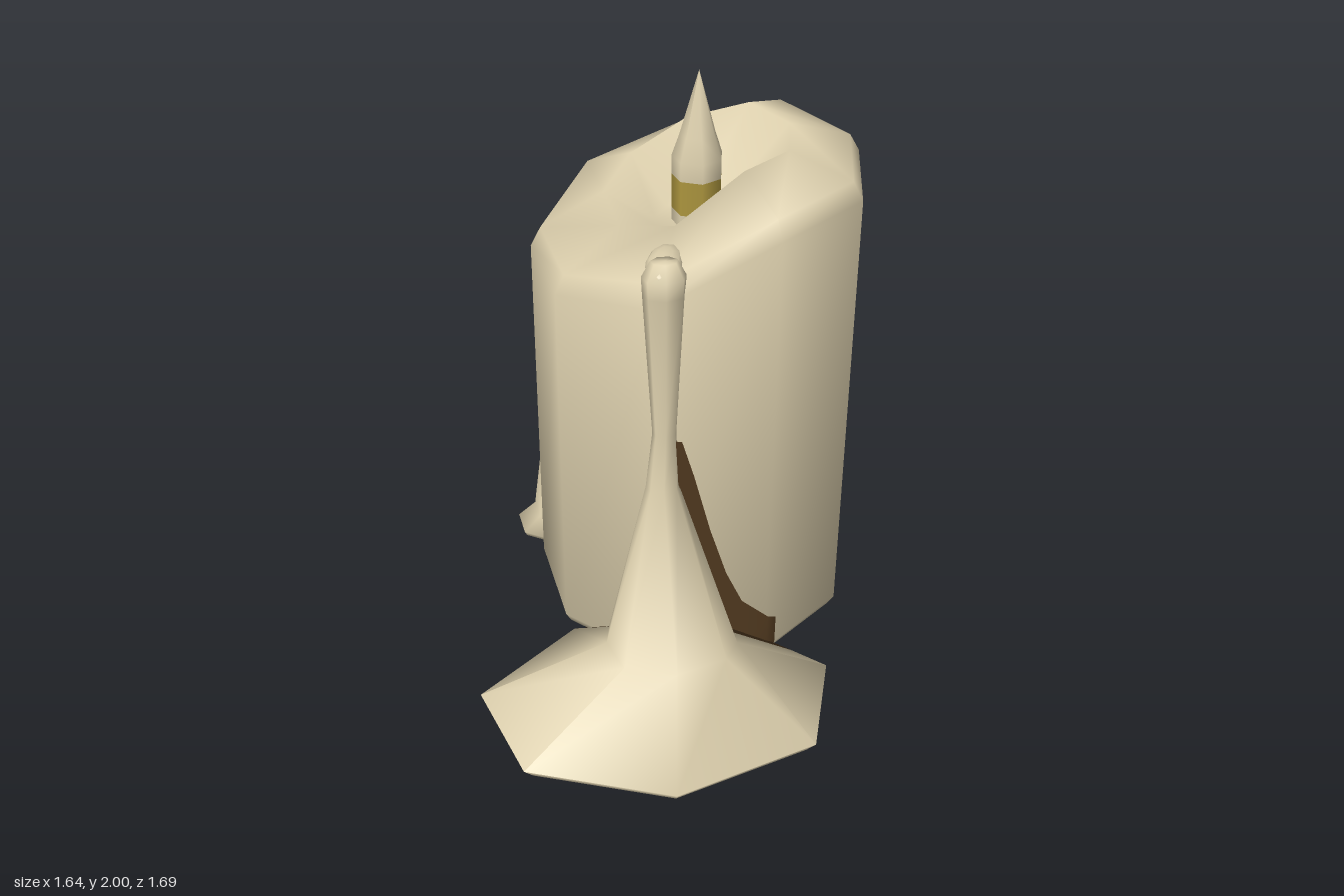
import * as THREE from 'three';
import { toCreasedNormals } from 'three/addons/utils/BufferGeometryUtils.js';

const CX = 0.28, CZ = -0.19; // candle axis

// Skin a stack of rings (bottom to top); materialOf(ring, side) picks a material index.
function loft(rings, materialOf = () => 0) {
  const n = rings[0].length, pos = [], byMat = [[], []];
  rings.forEach(r => r.forEach(p => pos.push(...p)));
  for (let k = 0; k < rings.length - 1; k++) {
    for (let i = 0; i < n; i++) {
      const j = (i + 1) % n, a = k * n + i, b = k * n + j;
      byMat[materialOf(k, i)].push(a, a + n, b, b, a + n, b + n);
    }
  }
  // end caps
  [0, rings.length - 1].forEach((k, end) => {
    const c = pos.length / 3;
    for (let d = 0; d < 3; d++) pos.push(rings[k].reduce((s, p) => s + p[d], 0) / n);
    for (let i = 0; i < n; i++) {
      const a = k * n + i, b = k * n + (i + 1) % n;
      byMat[0].push(...(end ? [c, b, a] : [c, a, b]));
    }
  });
  const geo = new THREE.BufferGeometry();
  geo.setAttribute('position', new THREE.Float32BufferAttribute(pos, 3));
  geo.setIndex([...byMat[0], ...byMat[1]]);
  geo.addGroup(0, byMat[0].length, 0);
  if (byMat[1].length) geo.addGroup(byMat[0].length, byMat[1].length, 1);
  return toCreasedNormals(geo, 1.8);
}

// Regular ring; y is a number or a function of the side index.
function ring(n, cx, cz, r, y, start = 0) {
  return Array.from({ length: n }, (_, i) => {
    const a = start + i / n * Math.PI * 2;
    return [cx + r * Math.cos(a), typeof y === 'number' ? y : y(i), cz + r * Math.sin(a)];
  });
}

export function createModel() {
  const group = new THREE.Group();
  const mat = (name, color) => {
    const m = new THREE.MeshStandardMaterial({ color });
    m.name = name;
    return m;
  };
  const wax = mat('wax', 0xdccfad);
  const shade = mat('darkBrown', 0x50391f);
  const olive = mat('olive', 0xae973f);
  const add = (name, geo, material) => {
    const m = new THREE.Mesh(geo, material);
    m.name = name;
    group.add(m);
  };

  // Nine-sided candle with an unevenly melted top and a sunken pool.
  // Heights per side, starting at the -x corner and going round by the back.
  const shoulder = [1.38, 1.36, 1.45, 1.52, 1.66, 1.66, 1.66, 1.66, 1.45];
  const bevel = [1.44, 1.43, 1.52, 1.6, 1.72, 1.72, 1.72, 1.72, 1.52];
  const rim = [1.55, 1.57, 1.62, 1.71, 1.785, 1.785, 1.785, 1.785, 1.61];
  const candleRing = (r, y) => ring(9, CX, CZ, r, y, Math.PI);
  add('candleBody', loft([
    candleRing(0.55, 0),
    candleRing(0.572, 0.04),
    candleRing(0.56, i => shoulder[i]),
    candleRing(0.525, i => bevel[i]),
    candleRing(0.31, i => rim[i]),
    candleRing(0.14, 1.48),
  ]), wax);

  // Wick and pointed flame, with an olive band near its foot.
  const turned = pts => {
    const g = new THREE.LatheGeometry(pts.map(p => new THREE.Vector2(...p)), 7, Math.PI);
    g.translate(CX, 0, CZ);
    return g;
  };
  add('flame', turned([[0.085, 1.645], [0.085, 1.71], [0.06, 1.785], [0, 2]]), wax);
  add('wickBand', turned([[0.085, 1.525], [0.085, 1.645]]), olive);
  add('wickFoot', turned([[0.085, 1.43], [0.085, 1.525]]), wax);

  // Large drip: a broad puddle narrowing to a column that hooks over the rim.
  const outline = [[0.13, 0.17], [0.24, 0.45], [0.29, 0.58], [0.02, 0.84],
    [-0.48, 0.75], [-0.82, 0.38], [-0.76, 0], [-0.32, -0.09]];
  const OX = -0.26, OZ = 0.36;
  const puddleRing = (cx, cz, s, y) =>
    outline.map(([x, z]) => [cx + (x - OX) * s, y, cz + (z - OZ) * s]);
  const neck = puddleRing(-0.18, 0.31, 0.36, 0.22);
  neck[1] = [0.015, 0.22, 0.385]; // the neck spreads where it meets the candle
  neck[2] = [0, 0.22, 0.44];
  neck[7] = [-0.31, 0.22, 0.12];
  const drip = [
    puddleRing(OX, OZ, 0.94, 0.02),
    puddleRing(OX, OZ, 1, 0.06),
    neck,
    puddleRing(-0.14, 0.2, 0.09, 0.8),
    puddleRing(-0.125, 0.19, 0.065, 1.0),
    puddleRing(-0.12, 0.18, 0.11, 1.5),
    puddleRing(-0.12, 0.18, 0.115, 1.56),
    puddleRing(-0.11, 0.165, 0.07, 1.605),
  ];
  // the sides turned to the candle are dark
  const isDark = (k, i) => (k <= 3 && (i === 0 || i === 7)) || (k === 0 && i === 1);
  add('largeDrip', loft(drip, (k, i) => (isDark(k, i) ? 1 : 0)), [wax, shade]);

  // Dark stain on the candle beside the drip: columns of [x, top height],
  // laid just outside the two candle sides that meet at x = 0.18.
  const stain = [[-0.15, 0.98], [-0.085, 0.97], [-0.05, 0.83], [0, 0.6], [0.05, 0.41],
    [0.1, 0.28], [0.181, 0.2], [0.225, 0.17]];
  const stainGeo = new THREE.PlaneGeometry(1, 1, stain.length - 1, 1);
  const p = stainGeo.attributes.position;
  for (let i = 0; i < p.count; i++) {
    const [x, top] = stain[i % stain.length];
    const z = 0.382 + (x - 0.181) * (x < 0.181 ? 0.575 : -0.18);
    p.setXYZ(i, x, i < stain.length ? top : 0.05, z);
  }
  stainGeo.computeVertexNormals();
  add('candleStain', stainGeo, shade);

  // Bridge from the column's head over the rim.
  const hook = new THREE.SphereGeometry(0.058, 9, 7);
  hook.scale(1.9, 0.65, 1);
  hook.rotateY(Math.PI / 4);
  hook.translate(-0.08, 1.568, 0.125);
  add('dripHook', hook, wax);

  // Thin drip down the back with a small flared foot.
  add('backDrip', loft([
    ring(7, -0.02, -0.72, 0.125, 0.0, 0.35),
    ring(7, -0.02, -0.72, 0.135, 0.02, 0.35),
    ring(7, -0.005, -0.67, 0.105, 0.11, 0.35),
    ring(7, 0.005, -0.665, 0.05, 0.6, 0.35),
    ring(7, 0.01, -0.66, 0.02, 1.1, 0.35),
  ]), wax);

  return group;
}
